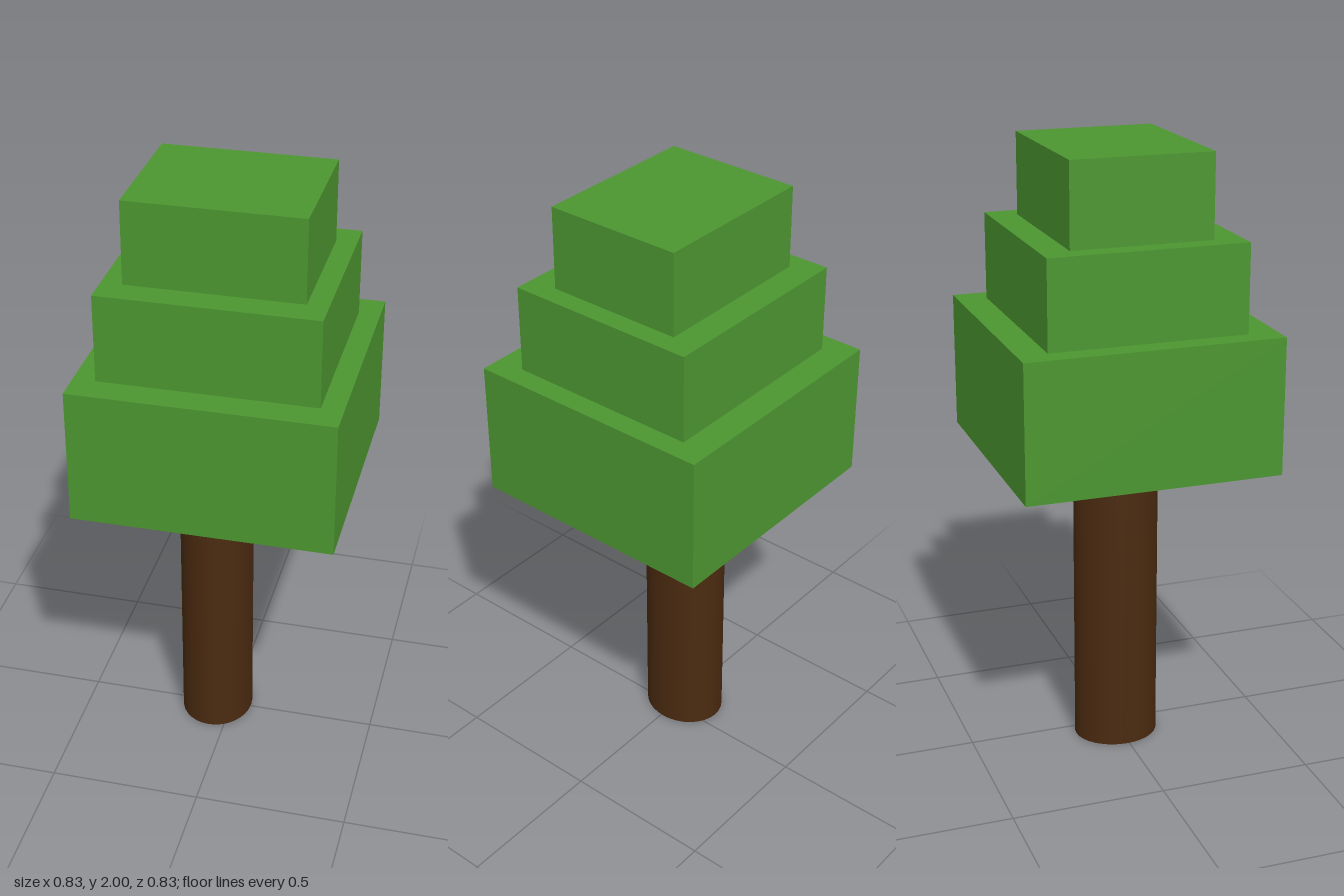
import * as THREE from 'three';

export function createModel() {
  const tree = new THREE.Group();
  tree.name = 'tree';
  const bark = new THREE.MeshStandardMaterial({ color: 0x4a2a10 });
  const leaves = new THREE.MeshStandardMaterial({ color: 0x4c9630 });

  // Slightly oval trunk, set off-centre under the crown
  const trunk = new THREE.Mesh(new THREE.CylinderGeometry(1, 1, 1, 32), bark);
  trunk.name = 'trunk';
  trunk.scale.set(0.122, 1, 0.14);
  trunk.position.set(-0.053, 0.5, -0.008);
  tree.add(trunk);

  // Stepped crown: width, depth, bottom, top
  const tiers = [
    ['lowerFoliage', 0.834, 0.834, 1, 1.446],
    ['middleFoliage', 0.692, 0.642, 1.446, 1.732],
    ['upperFoliage', 0.558, 0.458, 1.732, 2],
  ];
  for (const [name, width, depth, bottom, top] of tiers) {
    const tier = new THREE.Mesh(new THREE.BoxGeometry(width, top - bottom, depth), leaves);
    tier.name = name;
    tier.position.y = (bottom + top) / 2;
    tree.add(tier);
  }
  return tree;
}
